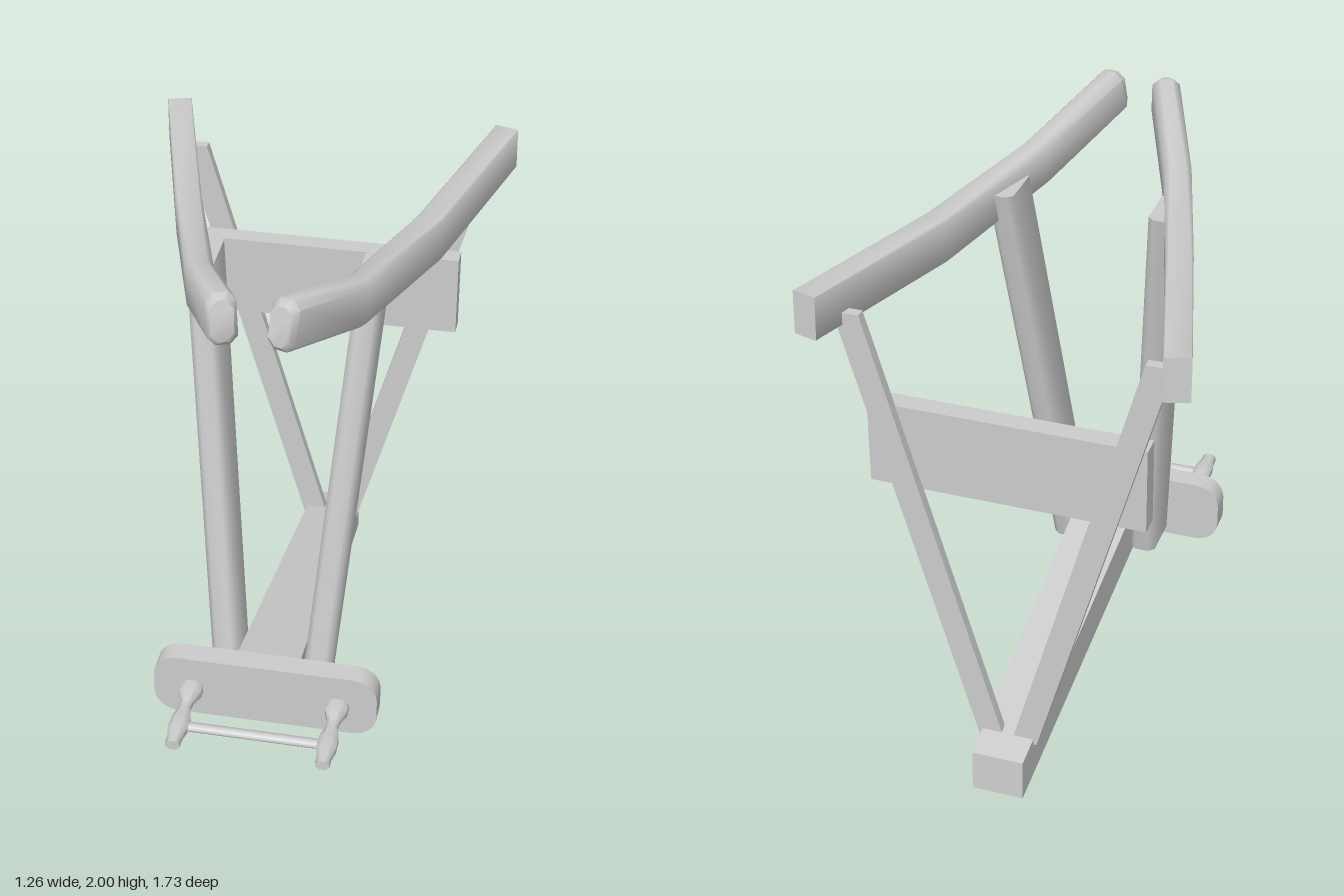
import * as THREE from 'three';
import { toCreasedNormals } from 'three/addons/utils/BufferGeometryUtils.js';

const V = (x, y, z) => new THREE.Vector3(x, y, z);
const mat = new THREE.MeshStandardMaterial({ color: 0xcccccc });

// Rectangle w x h with chamfered corners, as 8 (or 4) pairs
function section(w, h, c = 0) {
  const a = w / 2, b = h / 2;
  if (!c) return [[a, b], [-a, b], [-a, -b], [a, -b]];
  return [[a, b - c], [a - c, b], [c - a, b], [-a, b - c], [-a, c - b], [c - a, -b], [a - c, -b], [a, c - b]];
}

// Closed solid through rings of equal point count, wound outwards
function loft(rings, crease = 0.9) {
  const tris = [], n = rings[0].length;
  for (let i = 0; i < rings.length - 1; i++) {
    for (let j = 0; j < n; j++) {
      const k = (j + 1) % n, p = rings[i], q = rings[i + 1];
      tris.push([p[j], p[k], q[k]], [p[j], q[k], q[j]]);
    }
  }
  const first = rings[0], last = rings[rings.length - 1];
  for (let j = 1; j < n - 1; j++) {
    tris.push([first[0], first[j + 1], first[j]], [last[0], last[j], last[j + 1]]);
  }
  const mid = first[0].clone().add(last[0]).multiplyScalar(0.5);
  let volume = 0;
  for (const [a, b, c] of tris) {
    const u = a.clone().sub(mid), v = b.clone().sub(mid), w = c.clone().sub(mid);
    volume += u.dot(v.cross(w));
  }
  const pts = tris.flatMap(([a, b, c]) => (volume > 0 ? [a, b, c] : [a, c, b]));
  return toCreasedNormals(new THREE.BufferGeometry().setFromPoints(pts), crease);
}

// Beam cut horizontally at both ends
function leaningBeam(from, to, w, d, c) {
  return loft([from, to].map(p => section(w, d, c).map(([x, z]) => V(p.x + x, p.y, p.z + z))));
}

// Curved top rail, square at the back and softened toward the front
function rail(s) {
  const path = [V(0.59 * s, 1.765, -0.858), V(0.41 * s, 1.74, -0.22), V(0.25 * s, 1.79, 0.3),
    V(0.095 * s, 1.92, 0.675), V(0.088 * s, 1.926, 0.7)];
  const sizes = [[0.085, 0.15, 0.003], [0.088, 0.158, 0.008], [0.092, 0.16, 0.02], [0.095, 0.165, 0.025], [0.072, 0.13, 0.025]];
  return loft(path.map((p, i) => {
    const before = p.clone().sub(path[Math.max(i - 1, 0)]).normalize();
    const after = path[Math.min(i + 1, path.length - 1)].clone().sub(p).normalize();
    const dir = before.add(after).normalize();
    const side = V(0, 1, 0).cross(dir).normalize();
    const up = dir.clone().cross(side);
    return section(...sizes[i]).map(([a, b]) => p.clone().addScaledVector(side, a).addScaledVector(up, b));
  }));
}

export function createModel() {
  const model = new THREE.Group();
  const add = (name, geometry, x = 0, y = 0, z = 0) => {
    const mesh = new THREE.Mesh(geometry, mat);
    mesh.name = name;
    mesh.position.set(x, y, z);
    model.add(mesh);
    return mesh;
  };

  // Sloping base beam, wider toward the front
  const beamEnd = (w, yb, zb, yt, zt) => [V(w, yt, zt), V(-w, yt, zt), V(-w, yb, zb), V(w, yb, zb)];
  add('baseBeam', loft([beamEnd(0.09, 0, -0.862, 0.15, -0.855), beamEnd(0.11, 0.262, 0.49, 0.44, 0.49)]));

  // Front plate with rounded corners
  const w = 0.39, h = 0.12, r = 0.085;
  const shape = new THREE.Shape();
  shape.absarc(w - r, h - r, r, 0, Math.PI / 2);
  shape.absarc(r - w, h - r, r, Math.PI / 2, Math.PI);
  shape.absarc(r - w, r - h, r, Math.PI, Math.PI * 1.5);
  shape.absarc(w - r, r - h, r, Math.PI * 1.5, Math.PI * 2);
  const plate = new THREE.ExtrudeGeometry(shape, { depth: 0.078, bevelEnabled: false, curveSegments: 4 });
  add('frontPlate', toCreasedNormals(plate, 0.6), 0, 0.33, 0.488);

  // Turned handle profile: radius, distance from the plate
  const profile = [[0, -0.01], [0.042, -0.01], [0.042, 0.03], [0.024, 0.08], [0.022, 0.11], [0.035, 0.165],
    [0.036, 0.215], [0.027, 0.26], [0.026, 0.295], [0, 0.295]].map(([a, b]) => new THREE.Vector2(a, b));

  for (const s of [1, -1]) {
    const label = s > 0 ? 'left' : 'right';
    add(label + 'Rail', rail(s));
    add(label + 'FrontPost', leaningBeam(V(0.15 * s, 0.25, 0.395), V(0.279 * s, 1.8, 0.102), 0.092, 0.193, 0.02));
    add(label + 'BackStrut', leaningBeam(V(0.059 * s, 0.15, -0.735), V(0.505 * s, 1.73, -0.735), 0.088, 0.034));
    const handle = new THREE.LatheGeometry(profile, 8).rotateY(Math.PI / 8).rotateX(Math.PI / 2).scale(1, 0.8, 1);
    add(label + 'Handle', toCreasedNormals(handle, 0.9), 0.255 * s, 0.327, 0.567);
  }

  // Bar between the handles, and the rear cross panel
  const bar = new THREE.CylinderGeometry(0.021, 0.021, 0.48, 8).rotateZ(Math.PI / 2).scale(1, 0.65, 1);
  add('handleBar', bar, 0, 0.323, 0.758);
  add('backPanel', new THREE.BoxGeometry(0.93, 0.3, 0.07), 0, 1.25, -0.685);
  return model;
}
